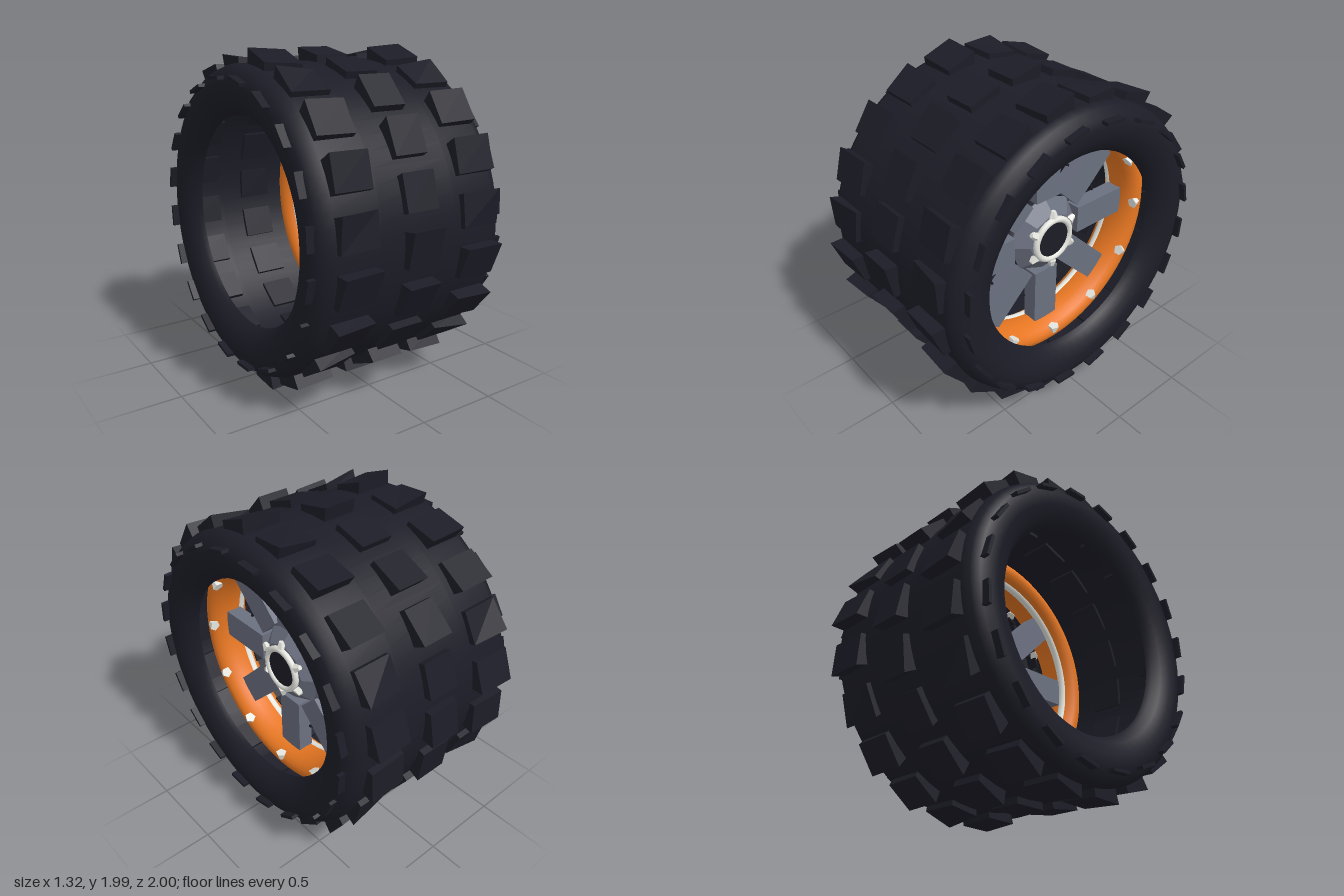
import * as THREE from 'three';

const mat = (name, color, side = THREE.FrontSide) => {
  const m = new THREE.MeshStandardMaterial({ color, side });
  m.name = name;
  return m;
};

export function createModel() {
  const wheel = new THREE.Group();
  wheel.name = 'wheel';
  const rubber = mat('rubber', 0x1c1c27, THREE.DoubleSide);
  const orange = mat('orangeRim', 0xe87722);
  const steel = mat('steel', 0x6b7080);
  const silver = mat('silver', 0xe6e6e0);
  const dark = mat('darkCap', 0x1c1c26);

  const add = (parent, name, geometry, material) => {
    const mesh = new THREE.Mesh(geometry, material);
    mesh.name = name;
    parent.add(mesh);
    return mesh;
  };

  // Repeats a part around the axle (x); local y points outwards
  const ring = (name, count, offset, make) => {
    const group = new THREE.Group();
    group.name = name;
    for (let i = 0; i < count; i++) {
      const arm = new THREE.Group();
      arm.rotation.x = offset + (i * Math.PI * 2) / count;
      make(arm, i);
      group.add(arm);
    }
    wheel.add(group);
  };

  // Turns a geometry built around y (or z for tori) so that it runs along x
  const alongX = (g) => g.rotateZ(-Math.PI / 2);
  const torusX = (r, tube, a, b) => new THREE.TorusGeometry(r, tube, a, b).rotateY(Math.PI / 2);

  // Hollow tyre shell, open at both lips
  const half = [
    [0.63, 0.53], [0.645, 0.56], [0.685, 0.6], [0.75, 0.625],
    [0.81, 0.63], [0.86, 0.615], [0.9, 0.58], [0.918, 0.53], [0.918, 0.25],
  ];
  const profile = [
    ...half.map(([r, x]) => new THREE.Vector2(r, -x)),
    ...half.slice().reverse().map(([r, x]) => new THREE.Vector2(r, x)),
  ];
  add(wheel, 'tyreShell', alongX(new THREE.LatheGeometry(profile, 64)), rubber);

  // Tread block: flat base, top sloping around the tyre, outer corner raised or one corner dropped
  const block = (width, length, side, lift, drop) => {
    const g = new THREE.BoxGeometry(width, 0.08, length).toNonIndexed();
    const p = g.attributes.position;
    for (let i = 0; i < p.count; i++) {
      if (p.getY(i) < 0) continue;
      const lead = p.getZ(i) < 0;
      const outer = p.getX(i) * side > 0;
      p.setY(i, p.getY(i) + (lead ? 0.02 : -0.02) + (outer ? lift : 0) - (lead && !outer ? drop : 0));
      if (lead) p.setZ(i, p.getZ(i) - 0.015);
    }
    g.computeVertexNormals();
    return g;
  };
  const step = Math.PI / 10;
  for (const side of [-1, 0, 1]) {
    const name = ['rightTread', 'middleTread', 'leftTread'][side + 1];
    ring(name, 20, side ? step / 2 : 0, (arm, i) => {
      const lift = side ? [0.015, 0, 0.01][i % 3] : 0;
      const drop = i % 3 === 1 ? 0.035 : 0;
      const b = add(arm, 'treadBlock', block(side ? 0.24 : 0.21, side ? 0.18 : 0.195, side, lift, drop), rubber);
      b.position.set(side * 0.41, side ? 0.925 : 0.933, 0);
    });
  }

  // Thin lugs on both sidewalls
  for (const side of [-1, 1]) {
    ring(side > 0 ? 'leftLugs' : 'rightLugs', 20, step / 2, (arm) => {
      const lug = add(arm, 'sideLug', new THREE.BoxGeometry(0.08, 0.02, 0.135), rubber);
      lug.position.set(side * 0.622, 0.845, 0);
      lug.rotation.x = 0.1;
    });
  }

  // Orange rim with a pale bead on its inner edge
  const rim = add(wheel, 'rim', torusX(0.722, 0.09, 20, 72), orange);
  rim.scale.x = 1.55;
  rim.position.x = 0.26;
  const bead = add(wheel, 'rimBead', torusX(0.66, 0.03, 12, 72), silver);
  bead.position.x = 0.2;

  // Bolts: short tapered studs pointing outwards from the axle
  const bolt = (arm, x, r, size) => {
    const g = new THREE.CylinderGeometry(size * 0.5, size, size * 1.4, 5).toNonIndexed();
    g.computeVertexNormals();
    const b = add(arm, 'bolt', g, silver);
    b.position.set(x, r, 0);
  };
  ring('rimBolts', 12, 0, (arm) => bolt(arm, 0.395, 0.685, 0.036));

  // Spokes and the thin vanes between them
  ring('spokes', 8, 0, (arm) => {
    const s = add(arm, 'spoke', new THREE.BoxGeometry(0.1, 0.385, 0.18), steel);
    s.position.set(0.26, 0.446, 0);
  });
  ring('vanes', 8, Math.PI / 8, (arm) => {
    const v = add(arm, 'vane', new THREE.BoxGeometry(0.06, 0.012, 0.065), dark);
    v.position.set(0.24, 0.437, 0);
  });

  // Faceted hub, dark axle cap and its pale ring
  const drum = (name, rFront, rBack, x0, x1, sides, material) => {
    let g = new THREE.CylinderGeometry(rFront, rBack, x1 - x0, sides);
    if (sides < 12) {
      g = g.toNonIndexed();
      g.computeVertexNormals();
    }
    const m = add(wheel, name, alongX(g), material);
    m.position.x = (x0 + x1) / 2;
  };
  drum('hubFront', 0.17, 0.26, 0.27, 0.35, 8, steel);
  drum('hubBack', 0.26, 0.17, 0.19, 0.27, 8, steel);
  drum('axleCap', 0.118, 0.118, 0.17, 0.365, 32, dark);
  const hubRing = add(wheel, 'hubRing', torusX(0.132, 0.02, 12, 40), silver);
  hubRing.position.x = 0.36;
  ring('hubBolts', 6, 0, (arm) => bolt(arm, 0.355, 0.175, 0.03));

  wheel.position.y = 1;
  const model = new THREE.Group();
  model.name = 'offRoadWheel';
  model.add(wheel);
  return model;
}
